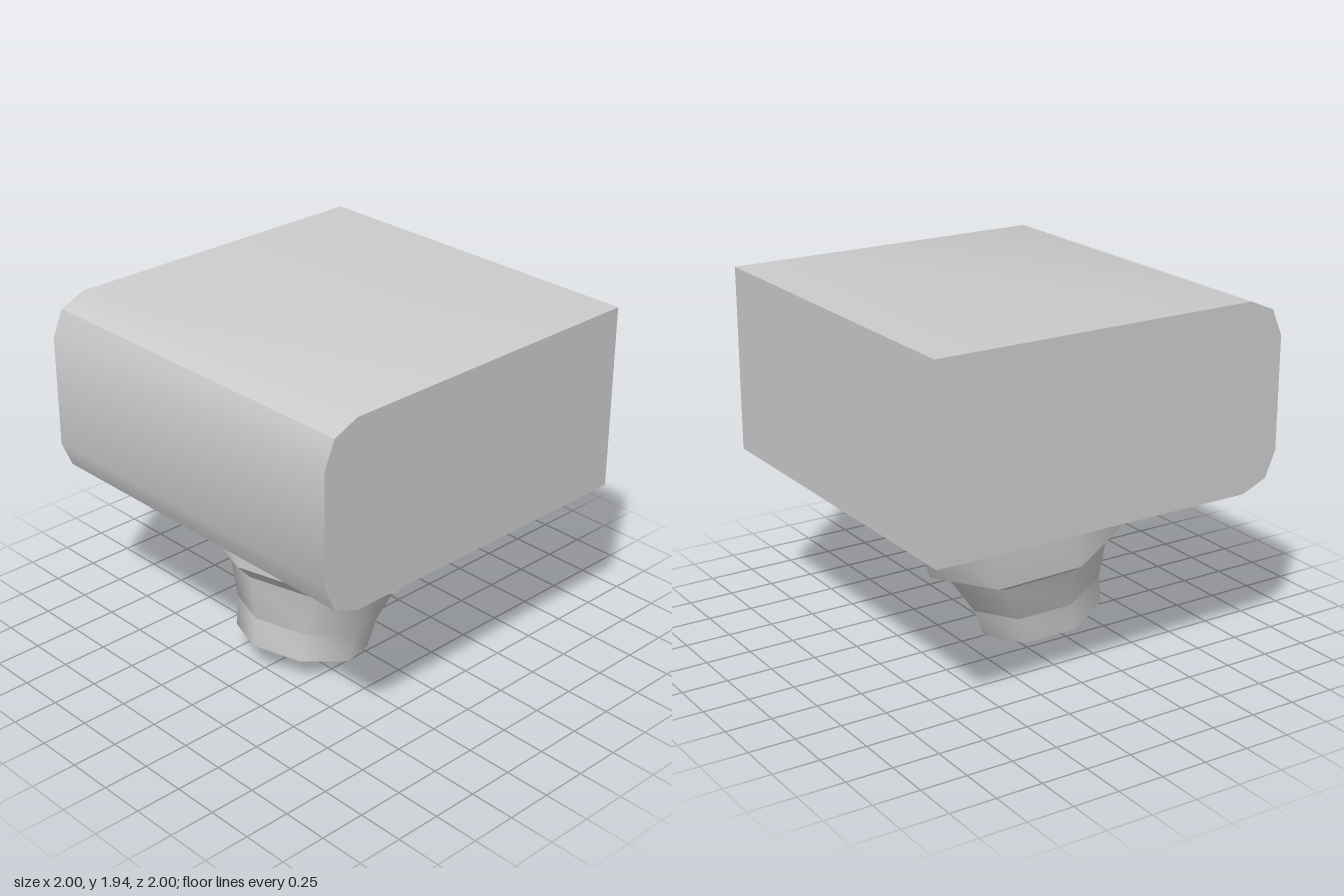
import * as THREE from 'three';
import { toCreasedNormals } from 'three/addons/utils/BufferGeometryUtils.js';

const SIDES = 8;

// Tilted rings: [x radius, front z, front y, back z, back y]
const ROOT = [0.61, 0.61, 1.29, -0.61, 0.99];
const SHOULDER = [0.61, 0.63, 1.03, -0.56, 0.73];
const RIM = [0.575, 0.67, 0.69, -0.44, 0.415];
const STEP = [0.46, 0.585, 0.595, -0.32, 0.37];
const NECK = [0.375, 0.555, 0.335, -0.17, 0.16];
const END = [0.355, 0.575, 0.175, -0.11, 0.005];
const LIP = [0.225, 0.46, 0.115, 0.02, 0.003];
const FLOOR = [0.18, 0.4, 0.178, 0.05, 0.092];
const CENTRE = [0, 0.225, 0.135, 0.225, 0.135];

// Skin joining successive rings, smooth within itself and sharp at both ends
function band(rings) {
  const pos = [], index = [];
  for (const [r, zf, yf, zb, yb] of rings) {
    for (let i = 0; i < SIDES; i++) {
      const a = (i / SIDES) * Math.PI * 2, c = Math.cos(a);
      pos.push(
        r * Math.sin(a),
        (yf + yb) / 2 + ((yf - yb) / 2) * c,
        (zf + zb) / 2 + ((zf - zb) / 2) * c
      );
    }
  }
  for (let k = 0; k < rings.length - 1; k++) {
    for (let i = 0; i < SIDES; i++) {
      const j = (i + 1) % SIDES;
      const a = k * SIDES + i, d = k * SIDES + j;
      const b = a + SIDES, c = d + SIDES;
      index.push(a, b, c, a, c, d);
    }
  }
  const g = new THREE.BufferGeometry();
  g.setAttribute('position', new THREE.Float32BufferAttribute(pos, 3));
  g.setIndex(index);
  g.computeVertexNormals();
  return g;
}

export function createModel() {
  const model = new THREE.Group();
  model.name = 'model';
  const material = new THREE.MeshStandardMaterial({ color: 0xcccccc });
  const add = (parent, name, geometry) => {
    const mesh = new THREE.Mesh(geometry, material);
    mesh.name = name;
    parent.add(mesh);
  };

  // Block with a bevelled front, its side outline (z, y) swept across x
  const outline = [
    [-1, 0.94], [0.8, 0.94], [0.94, 1.0], [1, 1.14],
    [1, 1.74], [0.94, 1.88], [0.8, 1.94], [-1, 1.94],
  ].map(([z, y]) => new THREE.Vector2(z, y));
  const block = new THREE.ExtrudeGeometry(new THREE.Shape(outline), { depth: 2, bevelEnabled: false });
  block.rotateY(-Math.PI / 2).translate(1, 0, 0);
  add(model, 'block', toCreasedNormals(block, Math.PI / 6));

  // Tilted, stepped nozzle below the block
  const nozzle = new THREE.Group();
  nozzle.name = 'nozzle';
  model.add(nozzle);
  add(nozzle, 'collar', band([ROOT, SHOULDER, RIM]));
  add(nozzle, 'collarStep', band([RIM, STEP]));
  add(nozzle, 'neck', band([STEP, NECK]));
  add(nozzle, 'tip', band([NECK, END]));
  add(nozzle, 'lip', band([END, LIP]));
  add(nozzle, 'boreWall', band([LIP, FLOOR]));
  add(nozzle, 'boreFloor', band([FLOOR, CENTRE]));

  return model;
}
